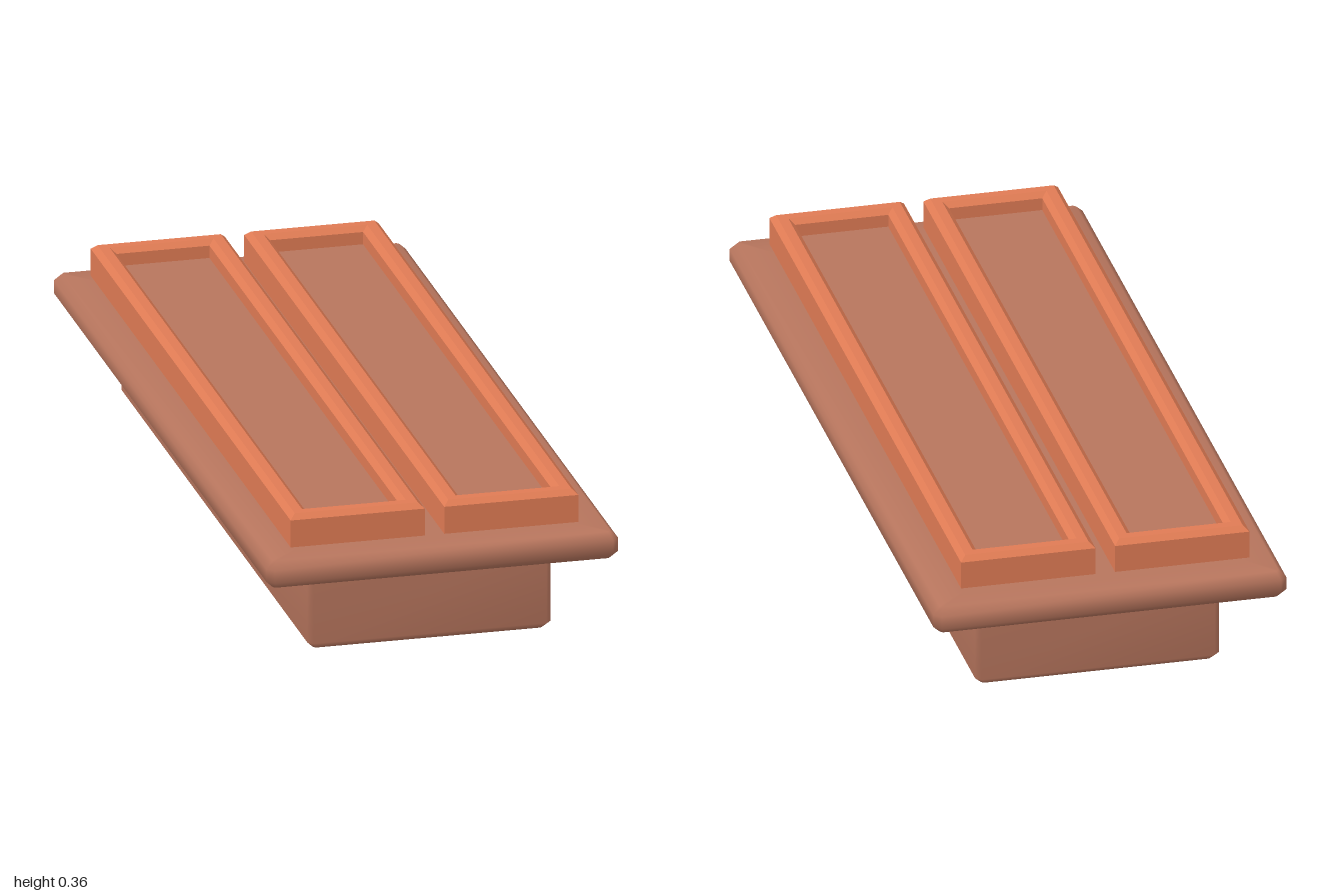
import * as THREE from 'three';

// Outline of a rectangle at height y, with optionally cut corners
function ring(hx, hz, y, cut = 0) {
  const pts = cut
    ? [[hx, hz - cut], [hx - cut, hz], [cut - hx, hz], [-hx, hz - cut],
       [-hx, cut - hz], [cut - hx, -hz], [hx - cut, -hz], [hx, cut - hz]]
    : [[hx, hz], [-hx, hz], [-hx, -hz], [hx, -hz]];
  return pts.map(([x, z]) => [x, y, z]);
}

// Skin through the rings: either capped at both ends, or closed back on itself
function loft(rings, closed) {
  const n = rings[0].length, m = rings.length, index = [];
  for (let i = 0; i < (closed ? m : m - 1); i++) {
    const lo = i * n, up = ((i + 1) % m) * n;
    for (let j = 0; j < n; j++) {
      const k = (j + 1) % n;
      index.push(lo + k, lo + j, up + j, lo + k, up + j, up + k);
    }
  }
  if (!closed) {
    const top = (m - 1) * n;
    for (let j = 1; j < n - 1; j++) {
      index.push(0, j, j + 1, top, top + j + 1, top + j);
    }
  }
  const geo = new THREE.BufferGeometry();
  geo.setAttribute('position', new THREE.Float32BufferAttribute(rings.flat(2), 3));
  geo.setIndex(index);
  geo.computeVertexNormals();
  return geo;
}

export function createModel() {
  const group = new THREE.Group();
  const clay = new THREE.MeshStandardMaterial({ color: 0xb7755d });
  clay.name = 'brown clay';
  const terracotta = new THREE.MeshStandardMaterial({ color: 0xdf7b54 });
  terracotta.name = 'terracotta';

  const add = (name, geo, material, x = 0, y = 0, z = 0) => {
    const mesh = new THREE.Mesh(geo, material);
    mesh.name = name;
    mesh.position.set(x, y, z);
    group.add(mesh);
  };

  // Plinth, softly bevelled at the foot and corners; the doubled ring keeps its top edge sharp
  const plinthTop = ring(0.288, 0.871, 0.205, 0.012);
  add('plinth', loft([
    ring(0.2, 0.78, 0, 0.006),
    ring(0.272, 0.855, 0, 0.006),
    ring(0.288, 0.871, 0.016, 0.012),
    plinthTop,
    plinthTop,
  ]), clay);

  // Overhanging slab, softly bevelled all round
  add('slab', loft([
    ring(0.33, 0.91, 0.204, 0.006),
    ring(0.4, 0.982, 0.204, 0.006),
    ring(0.417, 1, 0.221, 0.016),
    ring(0.417, 1, 0.252, 0.016),
    ring(0.4, 0.982, 0.269, 0.006),
    ring(0.33, 0.91, 0.269, 0.006),
  ]), clay);

  // Two raised rectangular frames with crisp chamfered rims, each holding a sunken panel
  const profile = [[0, 0.28], [0, 0.346], [0.013, 0.358], [0.036, 0.358], [0.049, 0.346], [0.049, 0.28]];
  for (const [side, x] of [['right', -0.187], ['left', 0.177]]) {
    const rings = profile.map(([inset, y]) => ring(0.159 - inset, 0.926 - inset, y));
    const frame = loft(rings, true).toNonIndexed();
    frame.computeVertexNormals();
    add(side + 'Frame', frame, terracotta, x, 0, 0.006);
    add(side + 'Panel', new THREE.BoxGeometry(0.22, 0.035, 1.754), clay, x, 0.2985, 0.006);
  }

  return group;
}
